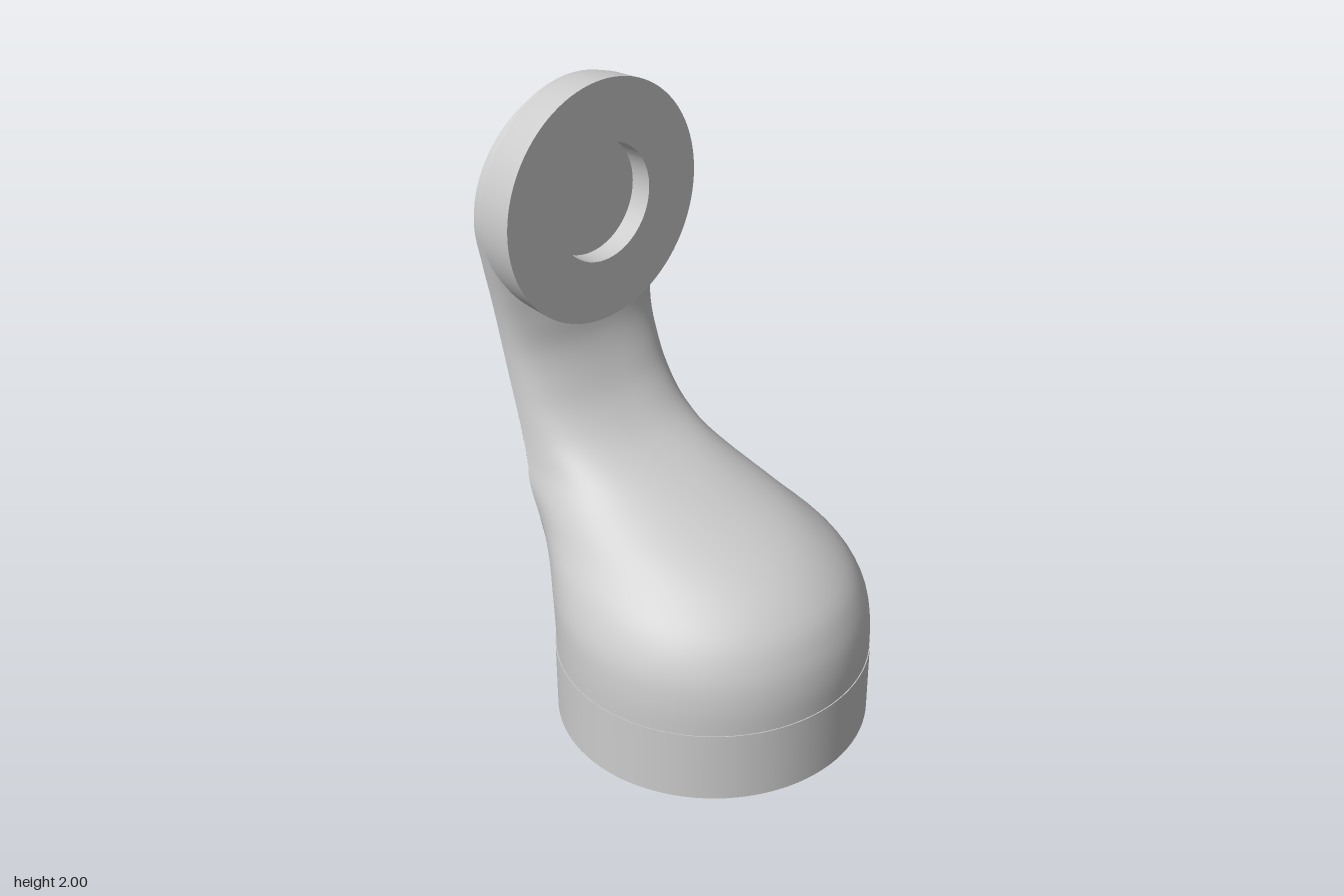
import * as THREE from 'three';
import { toCreasedNormals } from 'three/addons/utils/BufferGeometryUtils.js';

const BASE_Z = 0.115, HEAD_Y = 1.63;

// Body sections: height, front z, crease z, back z, half width, crease half width, front squareness
const SECTIONS = [
  [0.30, 0.602, -0.26, -0.37, 0.488, 0.31, 1],
  [0.40, 0.60, -0.262, -0.373, 0.487, 0.31, 1],
  [0.50, 0.578, -0.272, -0.39, 0.475, 0.31, 1],
  [0.60, 0.52, -0.292, -0.415, 0.432, 0.31, 1],
  [0.70, 0.38, -0.325, -0.443, 0.362, 0.31, 1],
  [0.80, 0.115, -0.36, -0.472, 0.312, 0.307, 0.95],
  [0.90, -0.13, -0.395, -0.502, 0.293, 0.293, 0.9],
  [1.00, -0.25, -0.43, -0.53, 0.285, 0.285, 0.85],
  [1.10, -0.315, -0.46, -0.555, 0.283, 0.283, 0.8],
  [1.20, -0.355, -0.48, -0.575, 0.287, 0.287, 0.8],
  [1.30, -0.37, -0.49, -0.59, 0.298, 0.298, 0.75],
  [1.40, -0.39, -0.492, -0.598, 0.316, 0.316, 0.6],
  [1.50, -0.42, -0.49, -0.597, 0.338, 0.338, 0.4],
  [1.63, -0.43, -0.487, -0.58, 0.36, 0.36, 0.3],
  [1.765, -0.43, -0.48, -0.545, 0.334, 0.334, 0.3],
  [1.885, -0.43, -0.468, -0.498, 0.255, 0.255, 0.3],
  [1.964, -0.43, -0.455, -0.463, 0.135, 0.135, 0.3],
  [1.99, -0.43, -0.44, -0.44, 0.001, 0.001, 0.3],
];

// Smooth interpolation between sections
function sectionAt(t) {
  const last = SECTIONS.length - 1;
  const i = Math.min(Math.floor(t), last - 1), f = t - i;
  const [p, a, b, n] = [-1, 0, 1, 2].map(k => SECTIONS[Math.min(Math.max(i + k, 0), last)]);
  return a.map((v, k) => {
    const m0 = (b[k] - p[k]) / 2, m1 = (n[k] - v) / 2;
    return v + f * (m0 + f * (3 * (b[k] - v) - 2 * m0 - m1 + f * (2 * (v - b[k]) + m0 + m1)));
  });
}

// Front: part of an oval that starts and ends on the creases
function frontPoint(s, u) {
  const [y, zf, zc, , w, cx, e] = s;
  const a = Math.acos(Math.min(cx / w, 1));
  const depth = (zf - zc) / (1 + Math.sin(a));
  const ang = Math.PI + a - u * (Math.PI + 2 * a);
  const pow = v => Math.sign(v) * Math.abs(v) ** e;
  const c = Math.cos(ang), sn = Math.sin(ang);
  return [w * pow(c), y, zf - depth + depth * pow(sn)];
}

// Back: shallow arc between the two creases
function backPoint(s, u) {
  const [y, , zc, zb, , cx] = s, k = 1 - 2 * u;
  return [cx * k, y, zb + (zc - zb) * k * k];
}

// Skin a surface over the sections
function skin(point, cols) {
  const rows = (SECTIONS.length - 1) * 4, pos = [], index = [];
  for (let i = 0; i <= rows; i++) {
    const s = sectionAt(i / 4);
    for (let j = 0; j <= cols; j++) pos.push(...point(s, j / cols));
  }
  for (let i = 0; i < rows; i++) {
    for (let j = 0; j < cols; j++) {
      const a = i * (cols + 1) + j, c = a + cols + 1;
      index.push(a, a + 1, c, a + 1, c + 1, c);
    }
  }
  const g = new THREE.BufferGeometry();
  g.setAttribute('position', new THREE.Float32BufferAttribute(pos, 3));
  g.setIndex(index);
  g.computeVertexNormals();
  return g;
}

export function createModel() {
  const group = new THREE.Group();
  const grey = new THREE.MeshStandardMaterial({ color: 0xcccccc });
  const shell = new THREE.MeshStandardMaterial({ color: 0xcccccc, side: THREE.DoubleSide });
  const add = (name, geometry, material = grey) => {
    const mesh = new THREE.Mesh(geometry, material);
    mesh.name = name;
    group.add(mesh);
    return mesh;
  };

  // Round foot with a locating peg below
  add('peg', new THREE.CylinderGeometry(0.18, 0.18, 0.09, 64)).position.set(0, 0.045, BASE_Z);
  add('base', new THREE.CylinderGeometry(0.49, 0.49, 0.235, 96)).position.set(0, 0.1925, BASE_Z);

  // Sweeping body, neck and domed back
  add('bodyFront', skin(frontPoint, 64), shell);
  add('bodyBack', skin(backPoint, 32), shell);

  // Head disc with a round recess in its face
  const profile = [[0, -0.46], [0.358, -0.46], [0.365, -0.42], [0.37, -0.33], [0.18, -0.33], [0.18, -0.4], [0, -0.4]]
    .map(([r, z]) => new THREE.Vector2(r, z));
  const disc = new THREE.LatheGeometry(profile, 96).rotateX(Math.PI / 2);
  add('headDisc', toCreasedNormals(disc, 0.6)).position.y = HEAD_Y;

  return group;
}
